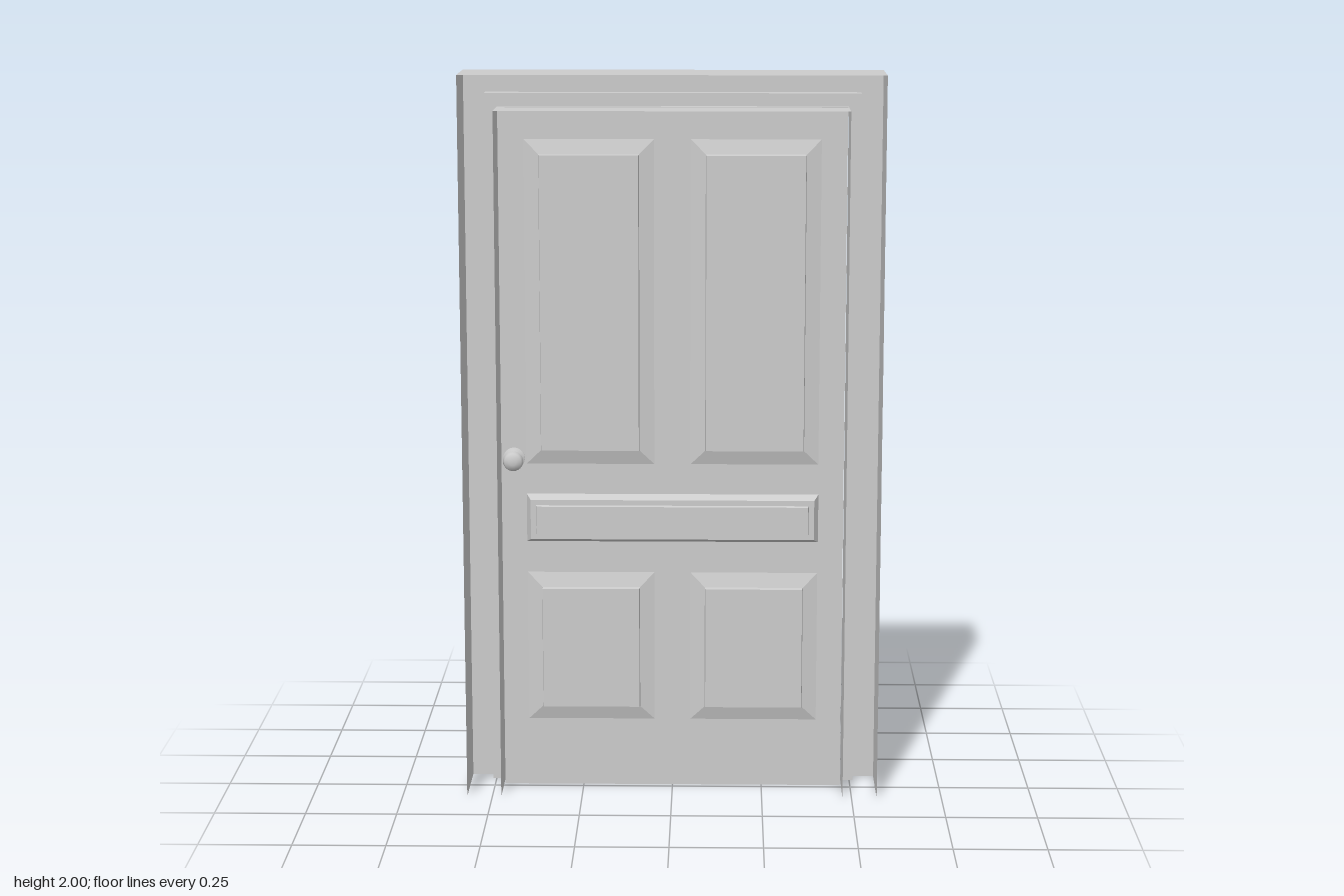
import * as THREE from 'three';

const material = new THREE.MeshStandardMaterial({ color: 0xcccccc, side: THREE.DoubleSide });
const DOOR_Z = -0.017;

function mesh(name, geometry, x = 0, y = 0, z = 0) {
  const m = new THREE.Mesh(geometry, material);
  m.name = name;
  m.position.set(x, y, z);
  return m;
}

// Flat-faced skin between successive loops of corners.
function skin(loops, closed) {
  const out = [];
  for (let i = 0; i < loops.length - 1; i++) {
    const p = loops[i], q = loops[i + 1], n = p.length;
    for (let j = 0; j < (closed ? n : n - 1); j++) {
      const k = (j + 1) % n;
      out.push(...p[j], ...p[k], ...q[k], ...p[j], ...q[k], ...q[j]);
    }
  }
  const g = new THREE.BufferGeometry();
  g.setAttribute('position', new THREE.Float32BufferAttribute(out, 3));
  g.computeVertexNormals();
  return g;
}

// Frame: a stepped profile [inset, z] carried up, across and down the opening; open to the front.
function frame() {
  const W = 0.57, H = 2;
  const profile = [[0, 0.097], [0, -0.097], [0.06, -0.097], [0.06, -0.06], [0.095, -0.06], [0.095, 0.097]];
  return mesh('frame', skin(profile.map(([o, z]) => [
    [-W + o, 0, z], [-W + o, H - o, z], [W - o, H - o, z], [W - o, 0, z],
  ]), false));
}

// Pressed panel: nested rectangles [inset, height] closed by a flat field.
function panel(name, r, steps) {
  const group = new THREE.Group();
  group.name = name;
  const loops = steps.map(([o, h]) => [
    [r.x0 + o, r.y0 + o, h], [r.x1 - o, r.y0 + o, h], [r.x1 - o, r.y1 - o, h], [r.x0 + o, r.y1 - o, h],
  ]);
  const [o, h] = steps[steps.length - 1];
  group.add(
    mesh('moulding', skin(loops, true)),
    mesh('field', new THREE.PlaneGeometry(r.x1 - r.x0 - 2 * o, r.y1 - r.y0 - 2 * o),
      (r.x0 + r.x1) / 2, (r.y0 + r.y1) / 2, h),
  );
  group.position.z = DOOR_Z;
  return group;
}

// Round hardware turned about the z axis; dir +1 faces the front, -1 the back.
function turned(name, points, dir, x, y) {
  const g = new THREE.LatheGeometry(points.map(([r, h]) => new THREE.Vector2(r, h)), 24);
  g.rotateX(dir * Math.PI / 2);
  return mesh(name, g, x, y, DOOR_Z);
}

export function createModel() {
  const model = new THREE.Group();
  model.name = 'panelledDoor';
  model.add(frame());

  // Panel openings: two tall, two short, one wide in between
  const raised = [[0, 0], [0.04, 0.012], [0.042, 0.026]];
  const banded = [[0, 0], [0.012, 0.026], [0.027, 0.026], [0.029, 0.036]];
  const panels = [['middlePanel', { x0: -0.403, x1: 0.403, y0: 0.705, y1: 0.84 }, banded]];
  for (const [side, x0, x1] of [['right', -0.402, -0.05], ['left', 0.05, 0.402]]) {
    panels.push([side + 'UpperPanel', { x0, x1, y0: 0.925, y1: 1.82 }, raised]);
    panels.push([side + 'LowerPanel', { x0, x1, y0: 0.193, y1: 0.617 }, raised]);
  }

  // Door leaf with the openings cut out
  const rect = (T, x0, y0, x1, y1) => new T([
    new THREE.Vector2(x0, y0), new THREE.Vector2(x1, y0), new THREE.Vector2(x1, y1), new THREE.Vector2(x0, y1),
  ]);
  const leaf = rect(THREE.Shape, -0.472, 0, 0.472, 1.907);
  for (const [, r] of panels) leaf.holes.push(rect(THREE.Path, r.x0, r.y0, r.x1, r.y1));
  const door = new THREE.Group();
  door.name = 'door';
  door.add(mesh('leaf', new THREE.ShapeGeometry(leaf), 0, 0, DOOR_Z));
  for (const args of panels) door.add(panel(...args));

  // Front knob and back lever on round roses
  const hx = -0.437, hy = 0.94;
  door.add(
    turned('knob', [[0.03, 0], [0.03, 0.006], [0.013, 0.009], [0.012, 0.022], [0.024, 0.03],
      [0.028, 0.04], [0.023, 0.05], [0.01, 0.055], [0, 0.055]], 1, hx, hy),
    turned('leverRose', [[0.026, 0], [0.026, 0.007], [0.012, 0.01], [0.012, 0.04]], -1, hx, hy),
  );
  const path = new THREE.CatmullRomCurve3([
    [0, 0, -0.035], [0.003, 0, -0.047], [0.02, 0, -0.052], [0.09, 0.002, -0.053], [0.17, 0, -0.052],
  ].map((p) => new THREE.Vector3(...p)));
  const lever = new THREE.Group();
  lever.name = 'lever';
  lever.add(
    mesh('leverBar', new THREE.TubeGeometry(path, 24, 0.011, 12)),
    mesh('leverTip', new THREE.SphereGeometry(0.011, 12, 8), 0.17, 0, -0.052),
  );
  lever.position.set(hx, hy, DOOR_Z);
  door.add(lever);

  model.add(door);
  return model;
}
